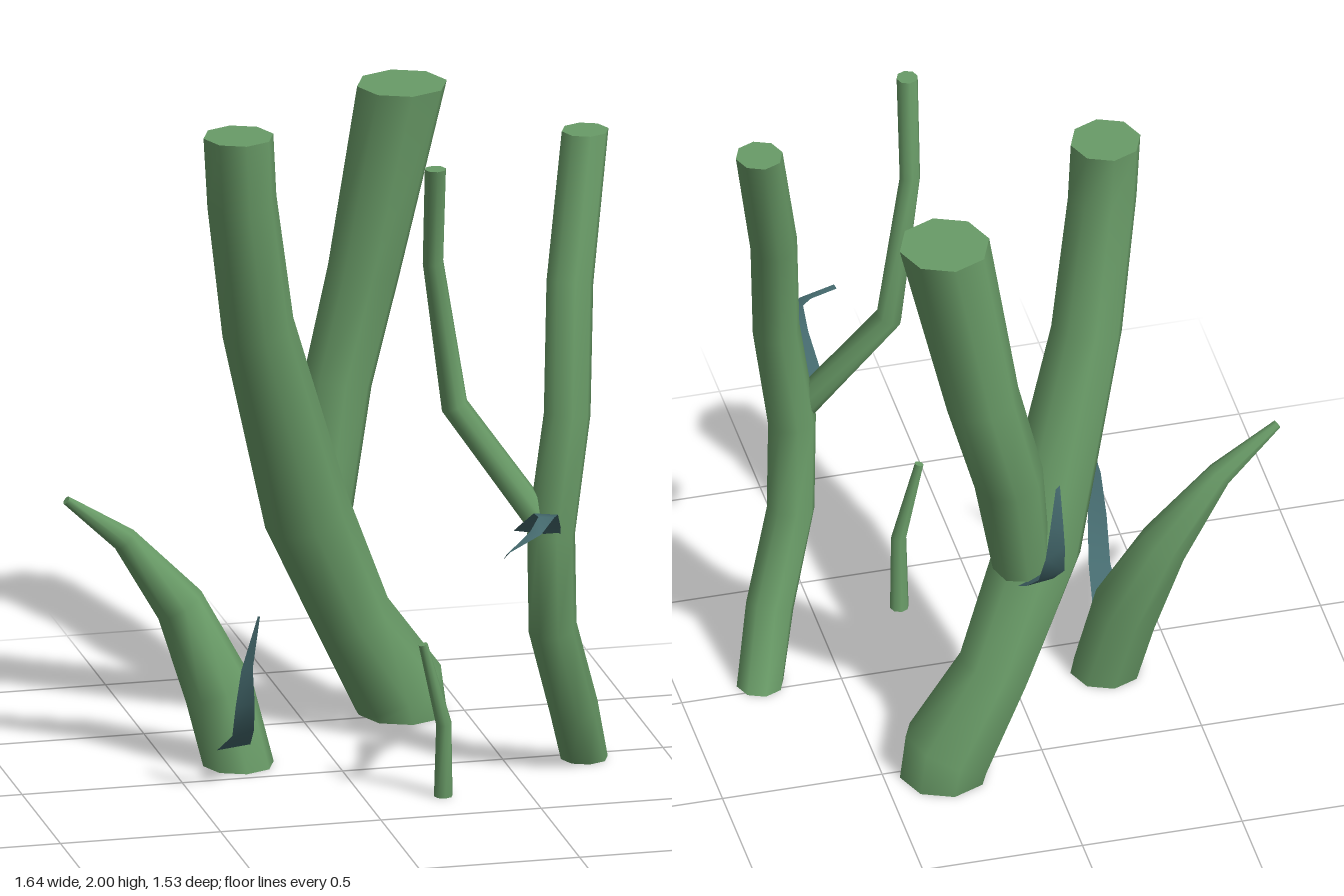
import * as THREE from 'three';

const SIDES = 8;

// Smooth stem through rings [x, y, z, radius]; ends on y = 0 or y = 2 are cut level.
function stemGeometry(rings) {
  const pos = [], index = [];
  const centres = rings.map(r => new THREE.Vector3(r[0], r[1], r[2]));
  const last = rings.length - 1;
  rings.forEach((r, i) => {
    const t = centres[Math.min(i + 1, last)].clone().sub(centres[Math.max(i - 1, 0)]).normalize();
    if (r[1] === 0 || r[1] === 2) t.set(0, 1, 0);
    const u = new THREE.Vector3(1, 0, 0).addScaledVector(t, -t.x).normalize();
    const v = t.clone().cross(u);
    for (let j = 0; j < SIDES; j++) {
      const a = j / SIDES * Math.PI * 2;
      const p = centres[i].clone().addScaledVector(u, Math.cos(a) * r[3]).addScaledVector(v, Math.sin(a) * r[3]);
      pos.push(p.x, p.y, p.z);
    }
  });
  for (let i = 0; i < last; i++) {
    for (let j = 0; j < SIDES; j++) {
      const a = i * SIDES + j, b = i * SIDES + (j + 1) % SIDES;
      index.push(a, b, b + SIDES, a, b + SIDES, a + SIDES);
    }
  }
  // End caps use their own corners so the rims stay sharp
  [0, last].forEach((ring, end) => {
    const base = pos.length / 3;
    for (let k = 0; k < SIDES * 3; k++) pos.push(pos[ring * SIDES * 3 + k]);
    for (let j = 1; j < SIDES - 1; j++) {
      if (end) index.push(base, base + j, base + j + 1);
      else index.push(base, base + j + 1, base + j);
    }
  });
  return finish(pos, index);
}

// Thin curled leaf: each section is a left point and a right point
function leafGeometry(sections) {
  const pos = sections.flat(), index = [];
  for (let i = 0; i < sections.length - 1; i++) {
    const a = i * 2;
    index.push(a, a + 1, a + 3, a, a + 3, a + 2);
  }
  return finish(pos, index);
}

function finish(pos, index) {
  const g = new THREE.BufferGeometry();
  g.setAttribute('position', new THREE.Float32BufferAttribute(pos, 3));
  g.setIndex(index);
  g.computeVertexNormals();
  return g;
}

const STEMS = {
  leaningTrunk: [
    [0.315, 0, -0.53, 0.137], [0.30, 0.08, -0.525, 0.146], [0.15, 0.33, -0.495, 0.12], [-0.015, 0.7, -0.40, 0.135],
    [-0.21, 1.36, -0.225, 0.112], [-0.278, 1.79, -0.15, 0.108], [-0.29, 2, -0.145, 0.109],
  ],
  trunkBranch: [
    [0.055, 0.7, -0.465, 0.09], [0.11, 1.07, -0.525, 0.108], [0.2, 1.41, -0.557, 0.114], [0.315, 2, -0.54, 0.14],
  ],
  slenderStem: [
    [0.745, 0, 0.04, 0.073], [0.685, 0.2, 0.155, 0.075], [0.597, 0.49, 0.245, 0.075], [0.585, 0.8, 0.275, 0.075],
    [0.64, 1.17, 0.255, 0.073], [0.67, 1.56, 0.165, 0.073], [0.748, 2, 0.038, 0.073],
  ],
  slenderBranch: [
    [0.56, 0.83, 0.285, 0.045], [0.305, 1.2, 0.185, 0.042], [0.226, 1.68, 0.235, 0.032], [0.215, 2, 0.312, 0.033],
  ],
  curvedShoot: [
    [-0.29, 0, -0.145, 0.11], [-0.345, 0.23, -0.17, 0.108], [-0.455, 0.495, -0.22, 0.078],
    [-0.63, 0.72, -0.212, 0.04], [-0.815, 0.863, -0.195, 0.014],
  ],
  smallShoot: [
    [0.24, 0, 0.31, 0.029], [0.235, 0.24, 0.338, 0.024], [0.168, 0.5, 0.348, 0.014],
  ],
};

const LEAVES = {
  slenderStemLeaf: [
    [0.455, 0.835, 0.33, 0.60, 0.81, 0.335], [0.465, 0.875, 0.39, 0.59, 0.85, 0.38],
    [0.475, 0.945, 0.51, 0.55, 0.935, 0.51], [0.465, 0.965, 0.61, 0.515, 0.96, 0.61],
    [0.425, 0.94, 0.67, 0.455, 0.935, 0.69], [0.32, 0.89, 0.765, 0.328, 0.905, 0.768],
  ],
  shootLeaf: [
    [-0.375, 0.072, -0.07, -0.33, 0.085, -0.07], [-0.38, 0.105, 0, -0.29, 0.11, 0.01],
    [-0.375, 0.18, 0.13, -0.305, 0.19, 0.12], [-0.385, 0.3, 0.215, -0.322, 0.3, 0.20],
    [-0.378, 0.43, 0.26, -0.34, 0.43, 0.25], [-0.335, 0.61, 0.295, -0.328, 0.61, 0.295],
  ],
  branchLeaf: [
    [0.01, 0.69, -0.53, 0.085, 0.665, -0.54], [-0.005, 0.735, -0.62, 0.075, 0.715, -0.61],
    [-0.02, 0.82, -0.70, 0.065, 0.81, -0.715], [-0.01, 0.94, -0.745, 0.055, 0.92, -0.762],
    [0, 1.04, -0.765, 0.04, 1.03, -0.76], [0.002, 1.17, -0.73, 0.018, 1.165, -0.742],
  ],
};

export function createModel() {
  const group = new THREE.Group();
  group.name = 'plantStems';
  const green = new THREE.MeshStandardMaterial({ color: 0x699b67 });
  green.name = 'stemGreen';
  const teal = new THREE.MeshStandardMaterial({ color: 0x456a6e, side: THREE.DoubleSide });
  teal.name = 'leafTeal';

  const add = (name, geometry, material) => {
    const mesh = new THREE.Mesh(geometry, material);
    mesh.name = name;
    group.add(mesh);
  };
  for (const [name, rings] of Object.entries(STEMS)) add(name, stemGeometry(rings), green);
  for (const [name, sections] of Object.entries(LEAVES)) add(name, leafGeometry(sections), teal);
  return group;
}
